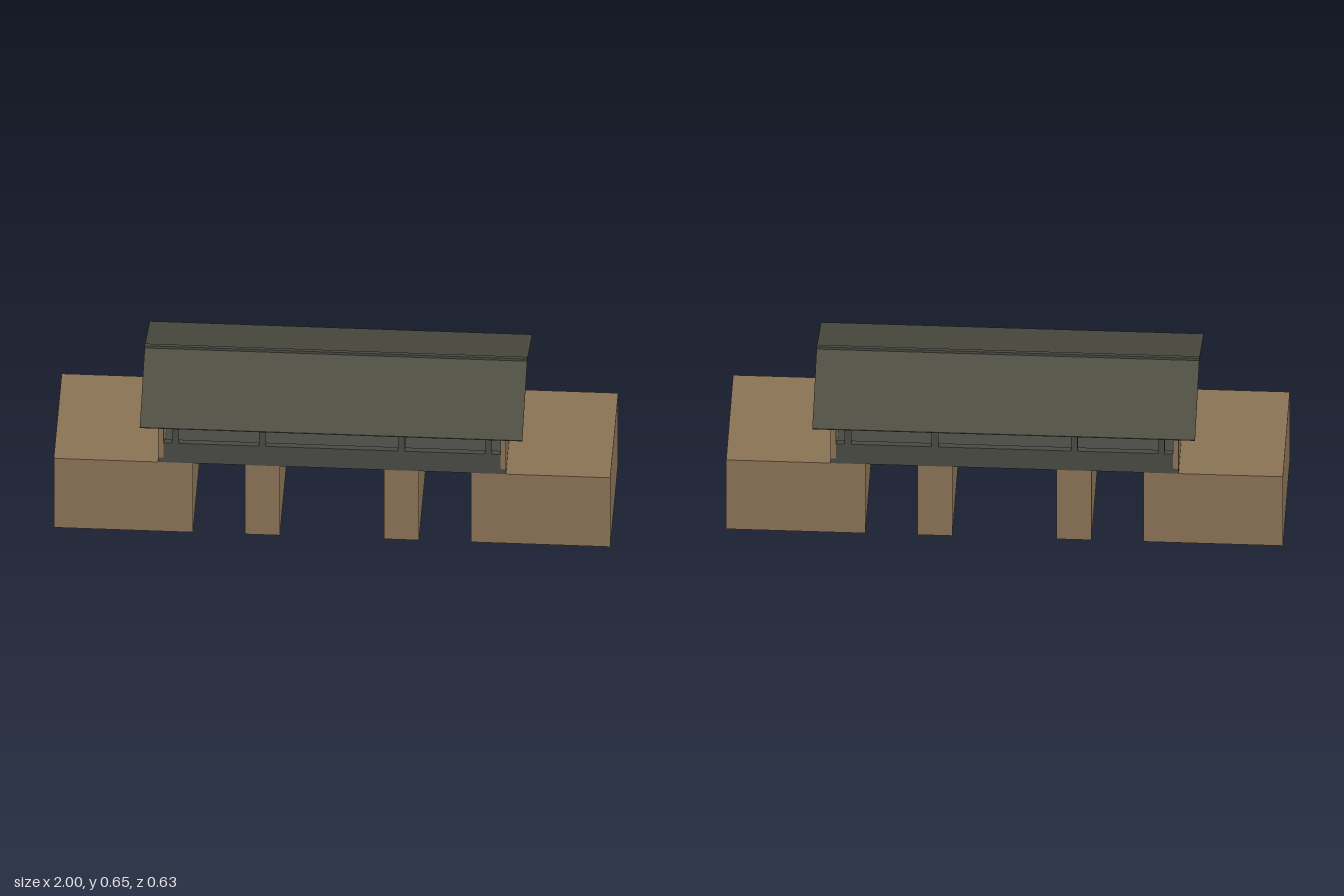
import * as THREE from 'three';

export function createModel() {
  const model = new THREE.Group();
  model.name = 'coveredBridge';
  const material = (name, color) => {
    const m = new THREE.MeshStandardMaterial({ color });
    m.name = name;
    return m;
  };
  const earth = material('tan', 0x8b7355);
  const timber = material('darkTimber', 0x4a4a44);
  const roofing = material('roofGrey', 0x4d4d42);

  const add = (name, geometry, mat, x = 0, y = 0, z = 0) => {
    const mesh = new THREE.Mesh(geometry, mat);
    mesh.name = name;
    mesh.position.set(x, y, z);
    model.add(mesh);
    return mesh;
  };
  // Box given by its centre in x and z and its bottom and top heights
  const box = (name, mat, x, z, w, d, y0, y1) =>
    add(name, new THREE.BoxGeometry(w, y1 - y0, d), mat, x, (y0 + y1) / 2, z);

  // Outline in (z, y) extruded along x, centred on x = 0
  const alongX = (points, length) => {
    const shape = new THREE.Shape(points.map(([z, y]) => new THREE.Vector2(-z, y)));
    const g = new THREE.ExtrudeGeometry(shape, { depth: length, bevelEnabled: false });
    g.translate(0, 0, -length / 2);
    g.rotateY(Math.PI / 2);
    return g;
  };

  // Deck spanning the banks
  box('deck', timber, 0, 0, 1.25, 0.5, 0.3125, 0.334);

  for (const s of [-1, 1]) {
    // Banks, piers and gabled end walls
    box('abutment', earth, s * 0.75, 0, 0.5, 0.5, 0, 0.3125);
    box('pier', earth, s * 0.25, 0, 0.125, 0.5, 0, 0.3125);
    add('endWall', alongX([[-0.25, 0.334], [0.25, 0.334], [0.25, 0.535],
      [0, 0.635], [-0.25, 0.535]], 0.02), earth, s * 0.615);

    // Side parapets, posts and eave beams
    const z = s * 0.239;
    box('parapet', timber, 0, z, 1.21, 0.022, 0.334, 0.4);
    box('eaveBeam', timber, 0, z, 1.21, 0.022, 0.5, 0.536);
    for (const x of [-0.5625, -0.25, 0.25, 0.5625])
      box('post', timber, x, z, 0.024, 0.022, 0.4, 0.5);
  }

  // Thin pitched roof with overhanging eaves, and its ridge cap
  add('roof', alongX([[-0.3125, 0.511], [0, 0.635], [0.3125, 0.511],
    [0.3135, 0.515], [0, 0.64], [-0.3135, 0.515]], 1.375), roofing);
  box('ridgeCap', timber, 0, 0, 1.375, 0.0125, 0.639, 0.649);

  return model;
}
